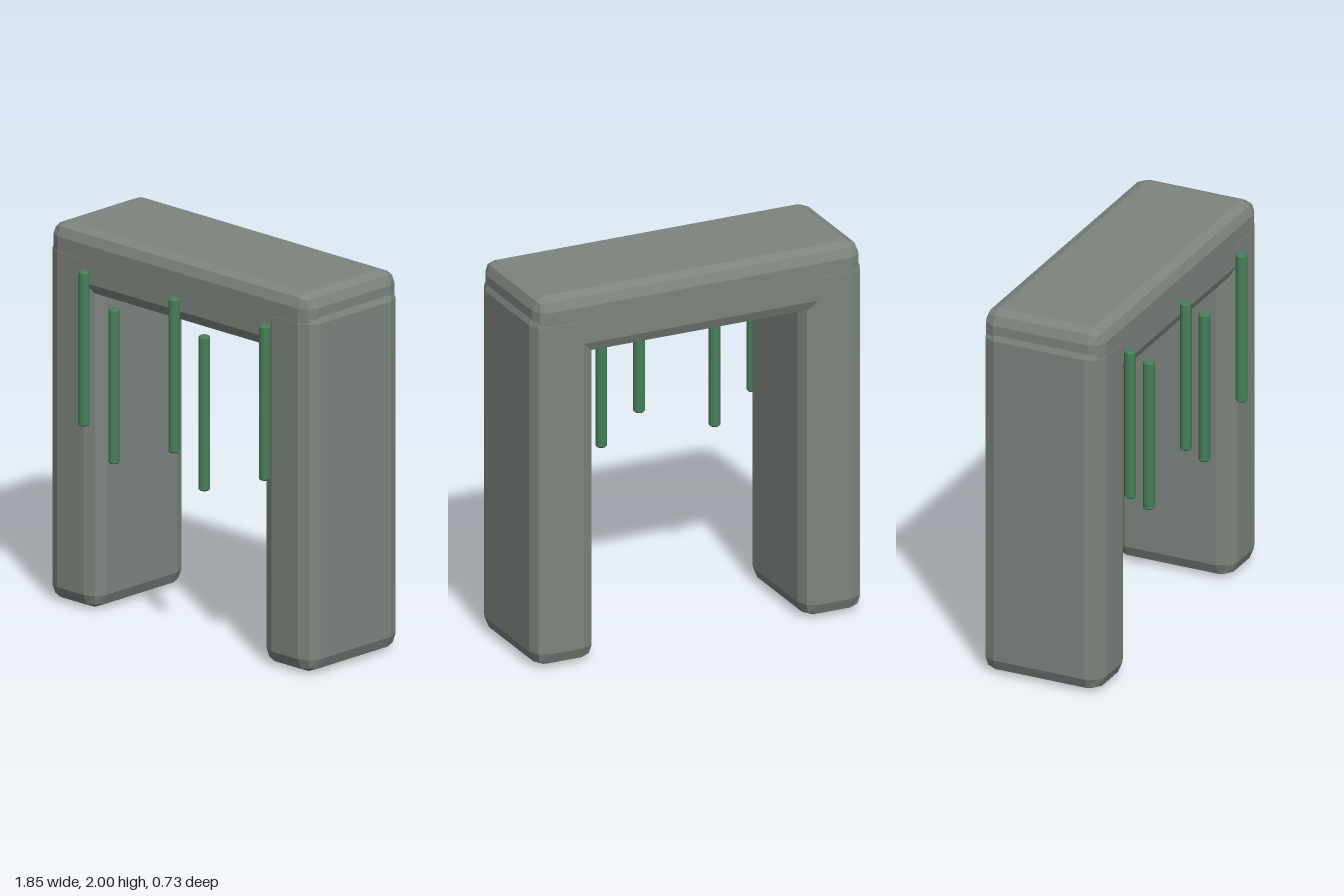
import * as THREE from 'three';

// Box with two-step bevelled edges, flat shaded
function bevelBox(w, h, d, r) {
  const g = new THREE.BoxGeometry(3, 3, 3, 3, 3, 3);
  const p = g.attributes.position;
  const half = new THREE.Vector3(w / 2 - r, h / 2 - r, d / 2 - r);
  const v = new THREE.Vector3();
  const dir = new THREE.Vector3();
  const outer = (a) => (Math.abs(a) > 1 ? Math.sign(a) : 0);
  for (let i = 0; i < p.count; i++) {
    v.fromBufferAttribute(p, i);
    dir.set(outer(v.x), outer(v.y), outer(v.z)).normalize();
    v.set(Math.sign(v.x), Math.sign(v.y), Math.sign(v.z)).multiply(half).addScaledVector(dir, r);
    p.setXYZ(i, v.x, v.y, v.z);
  }
  const flat = g.toNonIndexed();
  flat.computeVertexNormals();
  return flat;
}

export function createModel() {
  const group = new THREE.Group();
  const stone = new THREE.MeshStandardMaterial({ color: 0x7d857e });
  stone.name = 'stone';
  const vineGreen = new THREE.MeshStandardMaterial({ color: 0x478059 });
  vineGreen.name = 'vineGreen';

  const add = (name, geometry, material, x, y, z) => {
    const mesh = new THREE.Mesh(geometry, material);
    mesh.name = name;
    mesh.position.set(x, y, z);
    group.add(mesh);
  };

  // Two pillars
  const pillar = bevelBox(0.345, 1.93, 0.67, 0.08);
  add('leftPillar', pillar, stone, 0.75, 0.965, -0.03);
  add('rightPillar', pillar, stone, -0.75, 0.965, -0.03);

  // Lintel across the top, slightly narrower than the pillars' outer sides
  add('lintel', bevelBox(1.82, 0.34, 0.668, 0.07), stone, 0, 1.83, -0.03);

  // Hanging vines in front, with small bevels at both ends
  const L = 0.815, R = 0.03, b = 0.007;
  const profile = [[0, -L / 2], [R - b, -L / 2], [R, -L / 2 + b], [R, L / 2 - b], [R - b, L / 2], [0, L / 2]]
    .map(([x, y]) => new THREE.Vector2(x, y));
  const vine = new THREE.LatheGeometry(profile, 12).toNonIndexed();
  vine.computeVertexNormals();
  [[-0.628, 1.398], [-0.415, 1.247], [0.006, 1.398], [0.217, 1.247], [0.64, 1.398]]
    .forEach(([x, y], i) => add('vine' + (i + 1), vine, vineGreen, x, y, 0.335));

  return group;
}
